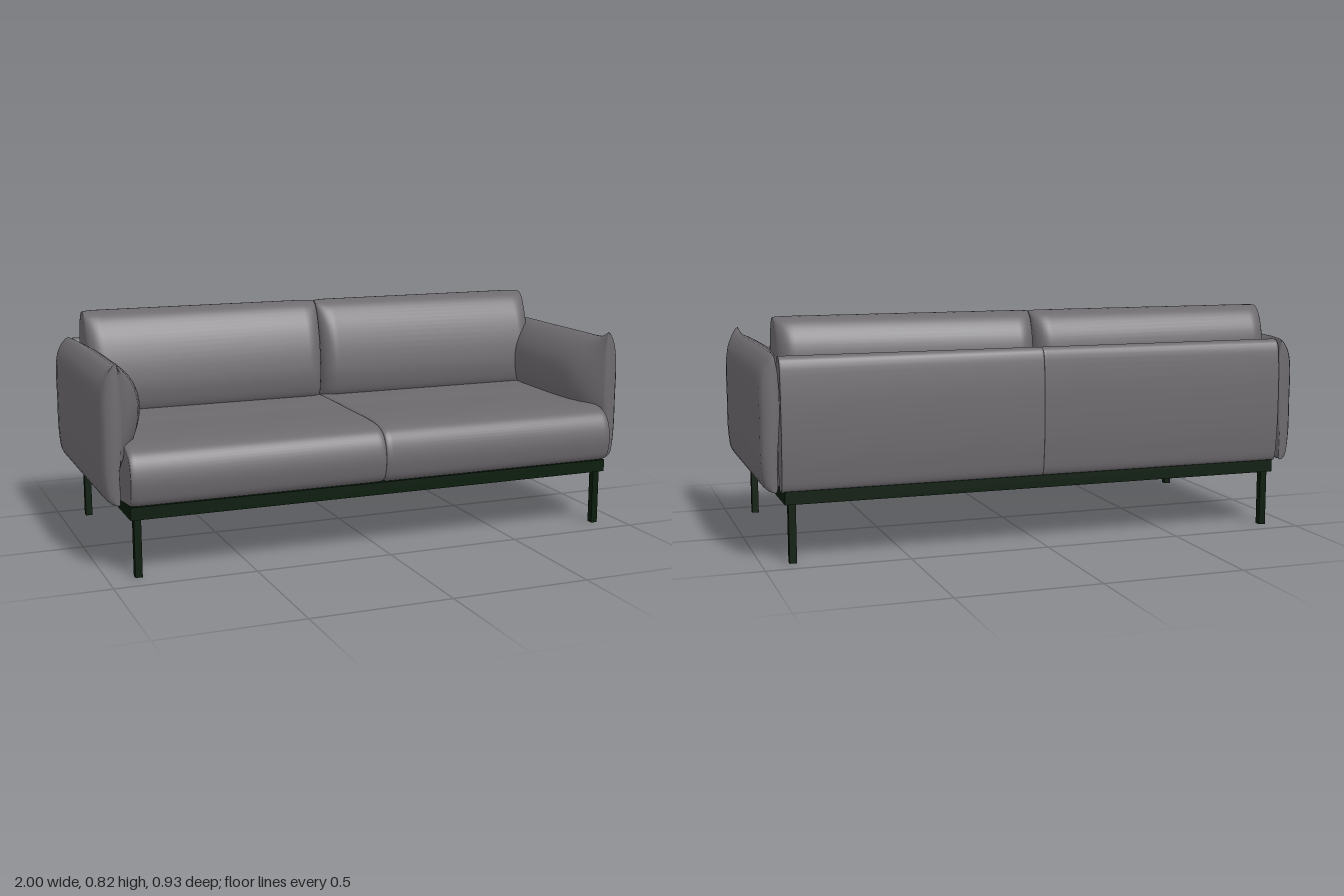
import * as THREE from 'three';

const fabric = new THREE.MeshStandardMaterial({ color: 0x6d6a6e, side: THREE.DoubleSide });
fabric.name = 'grey fabric';
const metal = new THREE.MeshStandardMaterial({ color: 0x071a09 });
metal.name = 'dark green metal';

// Smooth closed outline through a few [u, v] points, four steps per point
function outline(points) {
  const n = points.length * 4;
  const curve = new THREE.CatmullRomCurve3(
    points.map(([u, v]) => new THREE.Vector3(u, v, 0)), true, 'centripetal');
  return curve.getPoints(n).slice(0, n).map((p) => [p.x, p.y]);
}

// Skin over equally sized rings of [x, y, z], facing outwards; the last `open` strips are left out
function loft(rings, open = 0) {
  const n = rings[0].length;
  const verts = rings.flat();
  const faces = [];
  for (let i = 0; i < rings.length - 1; i++) {
    for (let j = 0; j < n - open; j++) {
      const a = i * n + j, b = i * n + (j + 1) % n;
      faces.push([a, b, b + n], [a, b + n, a + n]);
    }
  }
  for (const end of [0, rings.length - 1]) {
    const c = verts.length;
    verts.push([0, 1, 2].map((k) => rings[end].reduce((s, p) => s + p[k], 0) / n));
    for (let j = 0; j < n; j++) {
      const a = end * n + j, b = end * n + (j + 1) % n;
      faces.push(end ? [a, b, c] : [b, a, c]);
    }
  }
  const vec = verts.map((p) => new THREE.Vector3(...p));
  const volume = faces.reduce((s, [a, b, c]) =>
    s + vec[a].dot(new THREE.Vector3().crossVectors(vec[b], vec[c])), 0);
  if (volume < 0) faces.forEach((f) => f.reverse());
  const geo = new THREE.BufferGeometry();
  geo.setAttribute('position', new THREE.Float32BufferAttribute(verts.flat(), 3));
  geo.setIndex(faces.flat());
  geo.computeVertexNormals();
  return geo;
}

// Cushion running along x with a [z, y] outline and softly rounded ends
function cushion(points, x0, x1, r, insetZ, insetY, side, open = 0) {
  const ring = outline(points);
  const us = ring.map((p) => p[0]), vs = ring.map((p) => p[1]);
  const cz = (Math.min(...us) + Math.max(...us)) / 2;
  const cy = (Math.min(...vs) + Math.max(...vs)) / 2;
  const stations = [];
  const steps = 7;
  for (let k = 0; k <= steps; k++) {
    const a = (k / steps) * Math.PI / 2;
    stations.push([x0 + r * (1 - Math.cos(a)), 1 - Math.sin(a)]);
  }
  const far = stations.map(([x, f]) => [x0 + x1 - x, f]).reverse();
  return loft([...stations, ...far].map(([x, f]) => ring.map(([z, y]) => [
    side * x, cy + (y - cy) * (1 - insetY * f), cz + (z - cz) * (1 - insetZ * f)])), open);
}

// Padded arm running along z: pinched front edge, inner bulge fading to the back
const armOutline = [
  [0.96, 0.25], [0.985, 0.265], [0.998, 0.33], [1.0, 0.48], [0.998, 0.62], [0.982, 0.675],
  [0.945, 0.712], [0.89, 0.69], [0.845, 0.63], [0.83, 0.56], [0.845, 0.48], [0.885, 0.41],
  [0.925, 0.36], [0.93, 0.27]];
// [z, outer thickness, inner thickness, top rise]
const armStations = [
  [-0.452, 0.35, 0.08, -0.025], [-0.447, 0.7, 0.12, -0.013], [-0.43, 0.92, 0.14, -0.006],
  [-0.38, 1, 0.2, -0.002], [-0.3, 1, 0.5, 0], [-0.2, 1, 0.85, 0], [-0.1, 1, 1, 0],
  [0.05, 1, 1, 0], [0.18, 1, 1, 0], [0.26, 1, 0.94, 0], [0.31, 1, 0.78, 0],
  [0.35, 0.96, 0.5, 0.002], [0.375, 0.87, 0.28, 0.012], [0.388, 0.68, 0.14, 0.022],
  [0.394, 0.35, 0.1, 0.018]];
function arm(side) {
  const ring = outline(armOutline);
  const pivot = 0.945;
  return loft(armStations.map(([z, out, inn, rise]) => ring.map(([x, y]) => [
    side * (pivot + (x - pivot) * (x > pivot ? out : inn)),
    y + rise * THREE.MathUtils.smoothstep(y, 0.5, 0.71), z])));
}

// The seat outline ends at its front lower edge; the strip back to the start stays open
const seatOutline = [
  [-0.38, 0.25], [-0.387, 0.35], [-0.375, 0.45], [-0.2, 0.462], [0.1, 0.461], [0.33, 0.458],
  [0.395, 0.449], [0.43, 0.432], [0.453, 0.4], [0.465, 0.35], [0.462, 0.305], [0.448, 0.265],
  [0.42, 0.25]];
const backCushionOutline = [
  [-0.36, 0.445], [-0.388, 0.52], [-0.39, 0.7], [-0.373, 0.76], [-0.335, 0.808], [-0.28, 0.825],
  [-0.228, 0.808], [-0.188, 0.76], [-0.16, 0.7], [-0.138, 0.61], [-0.135, 0.52], [-0.165, 0.45]];
const backOutline = [
  [-0.4, 0.25], [-0.39, 0.4], [-0.389, 0.67], [-0.4, 0.698], [-0.425, 0.704], [-0.447, 0.69],
  [-0.46, 0.62], [-0.465, 0.47], [-0.458, 0.32], [-0.442, 0.25]];

export function createModel() {
  const model = new THREE.Group();
  model.name = 'sofa';
  const add = (name, geo, mat, x = 0, y = 0, z = 0) => {
    const mesh = new THREE.Mesh(geo, mat);
    mesh.name = name;
    mesh.position.set(x, y, z);
    model.add(mesh);
  };

  // Base rails
  for (const z of [-0.425, 0.41]) add('longRail', new THREE.BoxGeometry(1.84, 0.045, 0.04), metal, 0, 0.2275, z);

  for (const side of [1, -1]) {
    const name = side > 0 ? 'left' : 'right';

    // Upholstery; the seat cushions are hollow from below
    add(name + 'SeatCushion', cushion(seatOutline, 0, 0.922, 0.025, 0.015, 0.07, side, 4), fabric);
    add(name + 'BackCushion', cushion(backCushionOutline, 0.001, 0.92, 0.06, 0.5, 0.02, side), fabric);
    add(name + 'BackPanel', cushion(backOutline, 0, 0.93, 0.008, 0.08, 0.006, side), fabric);
    add(name + 'Arm', arm(side), fabric);

    // Side rail and legs
    add(name + 'SideRail', new THREE.BoxGeometry(0.04, 0.045, 0.8), metal, side * 0.9, 0.2275, -0.0075);
    for (const z of [-0.418, 0.404]) add(name + 'Leg', new THREE.BoxGeometry(0.025, 0.205, 0.026), metal, side * 0.894, 0.1025, z);

    // Sagging support strap under the seat
    const strap = new THREE.BoxGeometry(0.025, 0.008, 0.62, 1, 1, 16);
    const p = strap.attributes.position;
    for (let i = 0; i < p.count; i++) p.setY(i, p.getY(i) - 0.035 * (1 - (p.getZ(i) / 0.31) ** 2));
    strap.computeVertexNormals();
    add(name + 'SupportStrap', strap, metal, side * 0.375, 0.25, 0);
  }
  return model;
}
